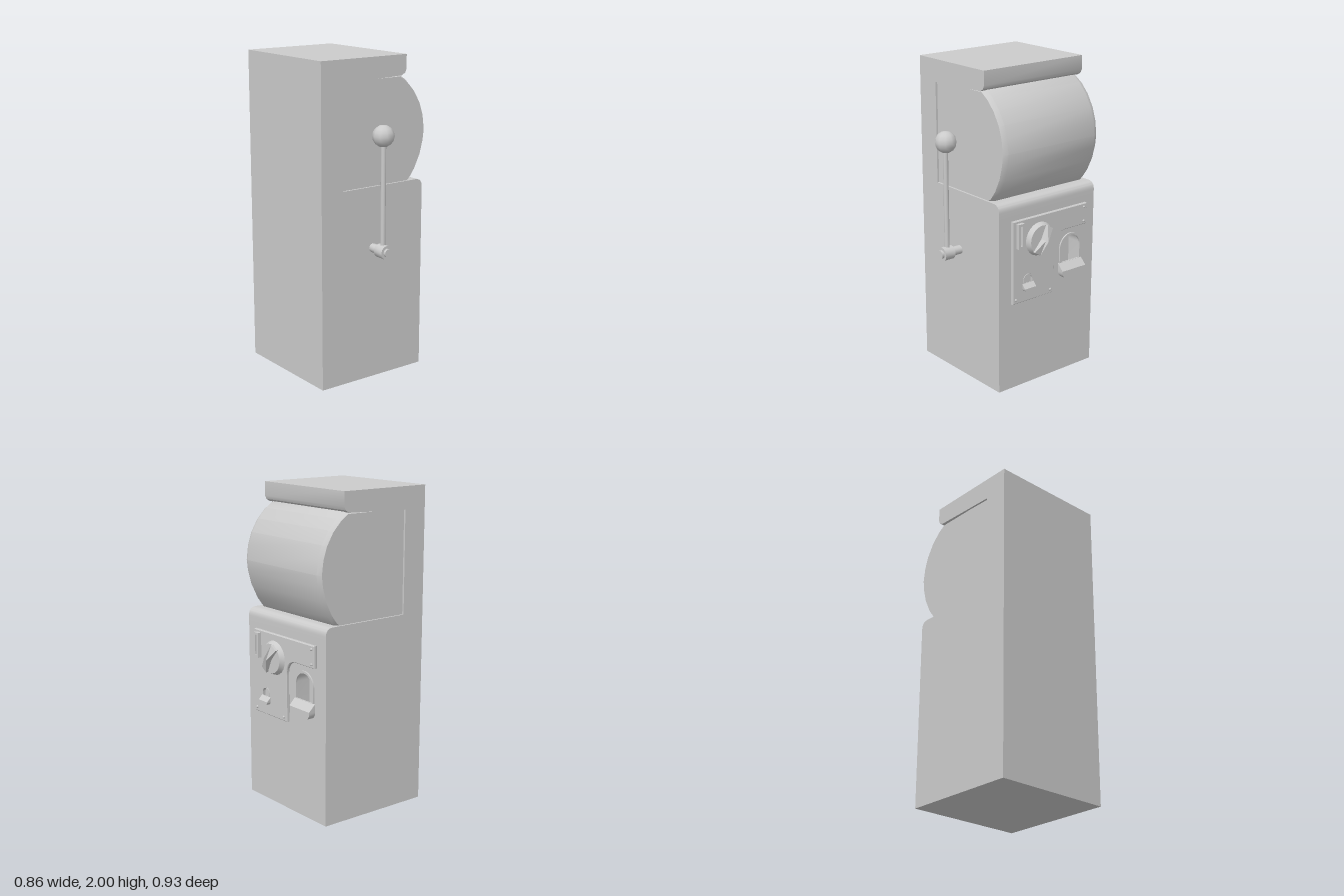
import * as THREE from 'three';
import { toCreasedNormals } from 'three/addons/utils/BufferGeometryUtils.js';

const material = new THREE.MeshStandardMaterial({ color: 0xcccccc });
const FACE = 0.335, PANEL = 0.358, BACK_Z = -0.465, FRONT_Z = 0.305;

export function createModel() {
  const model = new THREE.Group();
  model.name = 'slotCabinet';

  const add = (name, geometry, parent = model) => {
    const mesh = new THREE.Mesh(geometry, material);
    mesh.name = name;
    parent.add(mesh);
    return mesh;
  };
  const polygon = (points) => new THREE.Shape(points.map(([x, y]) => new THREE.Vector2(x, y)));
  const extrude = (shape, depth, bevel = 0, options = {}) => new THREE.ExtrudeGeometry(shape, {
    depth: depth - 2 * bevel, bevelEnabled: bevel > 0, bevelThickness: bevel, bevelSize: bevel,
    bevelOffset: -(options.bevelSize ?? bevel), bevelSegments: 1, curveSegments: 10, ...options,
  }).translate(0, 0, bevel);
  // Extrudes a (-z, y) outline along +x, between two x positions
  const onSide = (shape, x0, x1, bevel = 0) =>
    toCreasedNormals(extrude(shape, x1 - x0, bevel).rotateY(Math.PI / 2).translate(x0, 0, 0), 0.6);
  // Round-topped outline, centred on u
  const arch = (u, bottom, top, r, Type = THREE.Shape) => {
    const s = new Type();
    s.moveTo(u - r, bottom);
    s.lineTo(u + r, bottom);
    s.lineTo(u + r, top - r);
    s.absarc(u, top - r, r, 0, Math.PI, false);
    s.lineTo(u - r, bottom);
    return s;
  };

  // Cabinet side profile: base with rounded shoulder, back column, top cap
  const profile = new THREE.Shape();
  profile.moveTo(-0.43, 0);
  profile.lineTo(0.24, 0);
  profile.lineTo(0.24, 1.12);
  profile.lineTo(FACE, 1.12);
  profile.lineTo(FACE, 1.17);
  profile.quadraticCurveTo(FACE, 1.222, 0.283, 1.222);
  for (const [x, y] of [[-0.272, 1.222], [-0.272, 1.86], [0.165, 1.875], [0.19, 1.89],
    [0.2, 1.912], [0.2, 2], [-0.43, 2]]) profile.lineTo(x, y);
  add('cabinet', toCreasedNormals(extrude(profile, FRONT_Z - BACK_Z).translate(0, 0, BACK_Z), 0.6));

  // Lower face with the opening of the payout chute
  const face = polygon([[-FRONT_Z, 0], [-BACK_Z, 0], [-BACK_Z, 1.12], [-FRONT_Z, 1.12]]);
  face.holes.push(arch(0.267, 0.66, 0.925, 0.079, THREE.Path));
  add('cabinetFace', onSide(face, 0.24, FACE));

  // Bulging reel drum, let into the cabinet
  const drum = polygon([[-0.29, 1.2], [0.22, 1.2], [0.255, 1.228], [0.295, 1.282], [0.338, 1.37],
    [0.362, 1.46], [0.37, 1.53], [0.358, 1.62], [0.332, 1.7], [0.284, 1.78], [0.225, 1.842],
    [0.165, 1.882], [-0.29, 1.88]]);
  add('drum', toCreasedNormals(
    extrude(drum, 0.745, 0.03, { bevelSize: 0.015 }).translate(0, 0, -0.453), 0.5));

  // L-shaped control panel with a curved inner corner
  const plate = new THREE.Shape();
  plate.moveTo(-0.217, 0.574);
  plate.lineTo(0.114, 0.574);
  plate.lineTo(0.114, 0.868);
  plate.quadraticCurveTo(0.114, 0.968, 0.214, 0.968);
  plate.lineTo(0.385, 0.968);
  plate.lineTo(0.385, 1.105);
  plate.lineTo(-0.217, 1.105);
  plate.holes.push(arch(-0.097, 0.66, 0.747, 0.036, THREE.Path));
  add('controlPanel', onSide(plate, FACE, PANEL, 0.004));

  // Chutes: raised arch rim and a cup with a sloping lip
  const chute = (name, u, bottom, lip, rim, top, r, width, x0, x1) => {
    const group = new THREE.Group();
    group.name = name;
    model.add(group);
    const ring = arch(u, rim, top, r);
    ring.holes.push(arch(u, rim + 0.001, top - r * 0.16, r * 0.84, THREE.Path));
    add('chuteRim', onSide(ring, x0, x0 + r * 0.1), group);
    const c = width * 0.55;
    const s = new THREE.Shape();
    s.moveTo(u - width, rim);
    s.lineTo(u - width, bottom + c);
    s.quadraticCurveTo(u - width, bottom, u - width + c * 1.4, bottom);
    s.lineTo(u + width - c * 1.4, bottom);
    s.quadraticCurveTo(u + width, bottom, u + width, bottom + c);
    s.lineTo(u + width, rim);
    const cup = extrude(s, x1 - x0).rotateY(Math.PI / 2).translate(x0, 0, 0);
    const p = cup.attributes.position;
    for (let i = 0; i < p.count; i++) {
      if (p.getX(i) > x1 - 0.001 && p.getY(i) > lip) p.setY(i, lip);
    }
    cup.computeVertexNormals();
    add('chuteCup', toCreasedNormals(cup, 0.6), group);
  };
  chute('payoutChute', 0.267, 0.642, 0.7, 0.745, 0.928, 0.09, 0.097, FACE, 0.38);
  chute('coinReturn', -0.097, 0.642, 0.665, 0.693, 0.75, 0.038, 0.045, PANEL, 0.385);

  // Coin slot frame
  const slot = polygon([[-0.19, 0.932], [-0.145, 0.932], [-0.145, 1.09], [-0.19, 1.09]]);
  slot.holes.push(new THREE.Path(polygon([[-0.175, 0.95], [-0.175, 1.075], [-0.16, 1.075],
    [-0.16, 0.95]]).getPoints()));
  add('coinSlot', onSide(slot, PANEL, 0.383));

  // Dial: tapered disc with a tilted, waisted grip
  const dial = new THREE.Group();
  dial.name = 'dial';
  dial.position.set(PANEL, 0.957, 0.008);
  model.add(dial);
  const disc = new THREE.CylinderGeometry(0.092, 0.107, 0.03, 24).rotateZ(-Math.PI / 2).translate(0.015, 0, 0);
  add('dialDisc', toCreasedNormals(disc, 0.6), dial);
  const waist = polygon([[-0.026, -0.092], [0.026, -0.092], [0.012, 0], [0.026, 0.092],
    [-0.026, 0.092], [-0.012, 0]]);
  const grip = extrude(waist, 0.052).rotateY(Math.PI / 2).translate(0.02, 0, 0);
  const gp = grip.attributes.position;
  for (let i = 0; i < gp.count; i++) {
    if (gp.getX(i) > 0.05 && Math.abs(gp.getY(i)) > 0.05) gp.setX(i, 0.044);
  }
  grip.computeVertexNormals();
  add('dialGrip', grip, dial).rotation.x = -0.57;

  // Panel screws
  for (const [y, z] of [[0.6, 0.193], [0.6, -0.085], [0.99, -0.36], [1.082, -0.36]]) {
    add('screw', new THREE.SphereGeometry(0.009, 8, 6).translate(PANEL, y, z));
  }

  // Pull lever: axle, hub, end cap, rod and ball
  const lever = new THREE.Group();
  lever.name = 'lever';
  lever.position.set(-0.05, 0.84, 0);
  model.add(lever);
  const axial = (name, r, z0, z1) => add(name, toCreasedNormals(
    new THREE.CylinderGeometry(r, r, z1 - z0, 12).rotateX(Math.PI / 2).translate(0, 0, (z0 + z1) / 2), 0.6), lever);
  axial('leverAxle', 0.028, 0.29, 0.38);
  axial('leverHub', 0.043, 0.37, 0.442);
  axial('leverEndCap', 0.026, 0.43, 0.458);
  add('leverRod', new THREE.CylinderGeometry(0.016, 0.016, 0.7, 10).translate(0, 0.35, 0.403), lever);
  add('leverBall', new THREE.SphereGeometry(0.067, 10, 8).translate(0, 0.705, 0.4), lever);

  return model;
}
